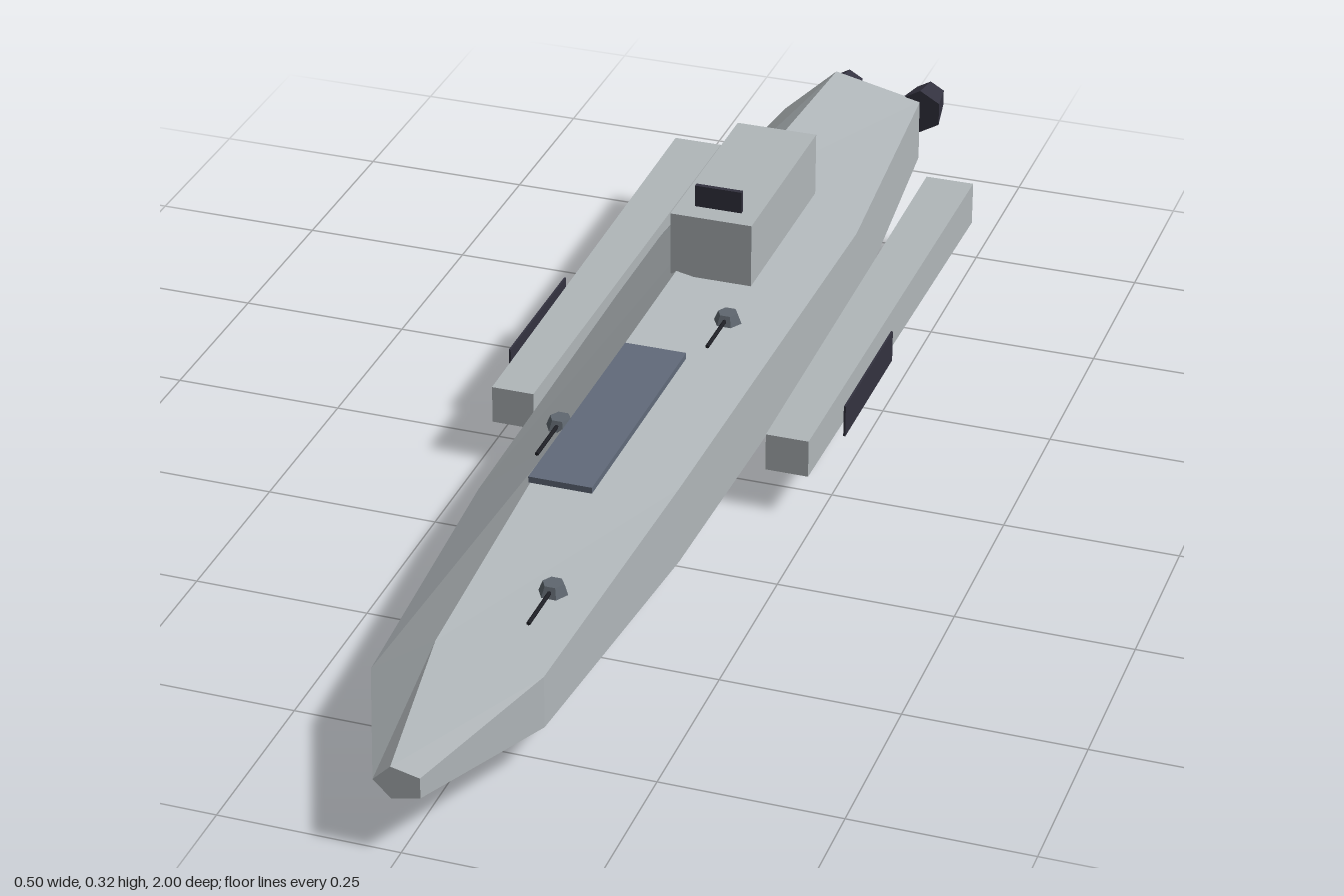
import * as THREE from 'three';

const paint = (name, color) => {
  const m = new THREE.MeshStandardMaterial({ color });
  m.name = name;
  return m;
};

export function createModel() {
  const model = new THREE.Group();
  model.name = 'spaceship';
  const grey = paint('hull grey', 0xb0b6b9);
  const slate = paint('slate blue', 0x616a7a);
  const steel = paint('turret steel', 0x5f676f);
  const dark = paint('dark violet grey', 0x33323f);
  const black = paint('barrel black', 0x1f2026);
  const yellow = paint('engine glow', 0xb39c3c);

  // Faceted normals, keeping material groups
  const flat = (geometry) => {
    const g = geometry.toNonIndexed();
    g.computeVertexNormals();
    return g;
  };
  const add = (name, geometry, material, x = 0, y = 0, z = 0) => {
    const mesh = new THREE.Mesh(geometry, material);
    mesh.name = name;
    mesh.position.set(x, y, z);
    model.add(mesh);
    return mesh;
  };
  // Box from its limits
  const box = (name, material, x0, x1, y0, y1, z0, z1) =>
    add(name, new THREE.BoxGeometry(x1 - x0, y1 - y0, z1 - z0), material,
      (x0 + x1) / 2, (y0 + y1) / 2, (z0 + z1) / 2);

  // Hull: five-sided sections [z, half width, half height, centre height]
  const sections = [
    [-0.943, 0.123, 0.084, 0.107],
    [-0.47, 0.1725, 0.105, 0.103],
    [0.31, 0.16, 0.098, 0.108],
    [0.77, 0.131, 0.065, 0.106],
    [1, 0.035, 0.025, 0.106],
  ];
  const last = sections.length - 1;
  const hull = new THREE.CylinderGeometry(1, 1, last, 5, last, false, -Math.PI / 2);
  hull.rotateX(Math.PI / 2);
  const p = hull.attributes.position;
  for (let i = 0; i < p.count; i++) {
    const [z, rx, ry, cy] = sections[Math.round(p.getZ(i) + last / 2)];
    p.setXYZ(i, p.getX(i) * rx, cy + p.getY(i) * ry, z);
  }
  add('hull', flat(hull), grey);

  // Bridge tower, its sensor plate and the deck hatch
  box('bridgeTower', grey, -0.061, 0.061, 0.197, 0.294, -0.515, -0.207);
  box('sensorPlate', dark, -0.035, 0.035, 0.294, 0.327, -0.247, -0.24);
  box('deckHatch', slate, -0.048, 0.042, 0.198, 0.207, 0.025, 0.412);

  // Side pods, slightly narrower at the front, with outboard panels
  for (const side of [-1, 1]) {
    const pod = new THREE.CylinderGeometry(0.84, 1, 0.817, 4, 1, false, Math.PI / 4);
    pod.rotateX(Math.PI / 2).scale(0.037 * Math.SQRT2, 0.0335 * Math.SQRT2, 1);
    add(side > 0 ? 'leftPod' : 'rightPod', flat(pod), grey, side * 0.203, 0.0935, -0.345);
    box(side > 0 ? 'leftPanel' : 'rightPanel', dark,
      side * 0.251 - 0.0015, side * 0.251 + 0.0015, 0.07, 0.118, -0.283, -0.052);
  }

  // Engines: hexagonal nozzles with glowing rear faces, staggered in height
  const nozzle = new THREE.CylinderGeometry(0.036, 0.025, 0.06, 6);
  nozzle.rotateX(Math.PI / 2);
  const nozzleGeo = flat(nozzle);
  for (let i = 0; i < 4; i++) {
    add('engine', nozzleGeo, [dark, dark, yellow], -0.1 + i * 0.0667, i % 2 ? 0.14 : 0.071, -0.97);
  }

  // Upper gun turrets
  const turretGeo = flat(new THREE.CylinderGeometry(0.0145, 0.0205, 0.015, 6, 1, false, Math.PI / 6));
  const barrelGeo = new THREE.CylinderGeometry(0.0028, 0.0028, 0.092, 6);
  barrelGeo.rotateX(Math.PI / 2);
  for (const [x, y, z] of [
    [-0.062, 0.2, -0.46], [0.06, 0.2, -0.105], [-0.062, 0.2, 0.25], [0.06, 0.173, 0.61],
  ]) {
    add('turret', turretGeo, steel, x, y, z);
    add('turretBarrel', barrelGeo, black, x, y, z + 0.046);
  }

  // Guns under the keel
  for (const [x, y, z] of [
    [0.06, 0.035, 0.487], [-0.062, 0.008, 0.13], [0.06, 0.008, -0.225], [-0.062, 0.008, -0.58],
  ]) add('keelBarrel', barrelGeo, black, x, y, z);

  return model;
}
